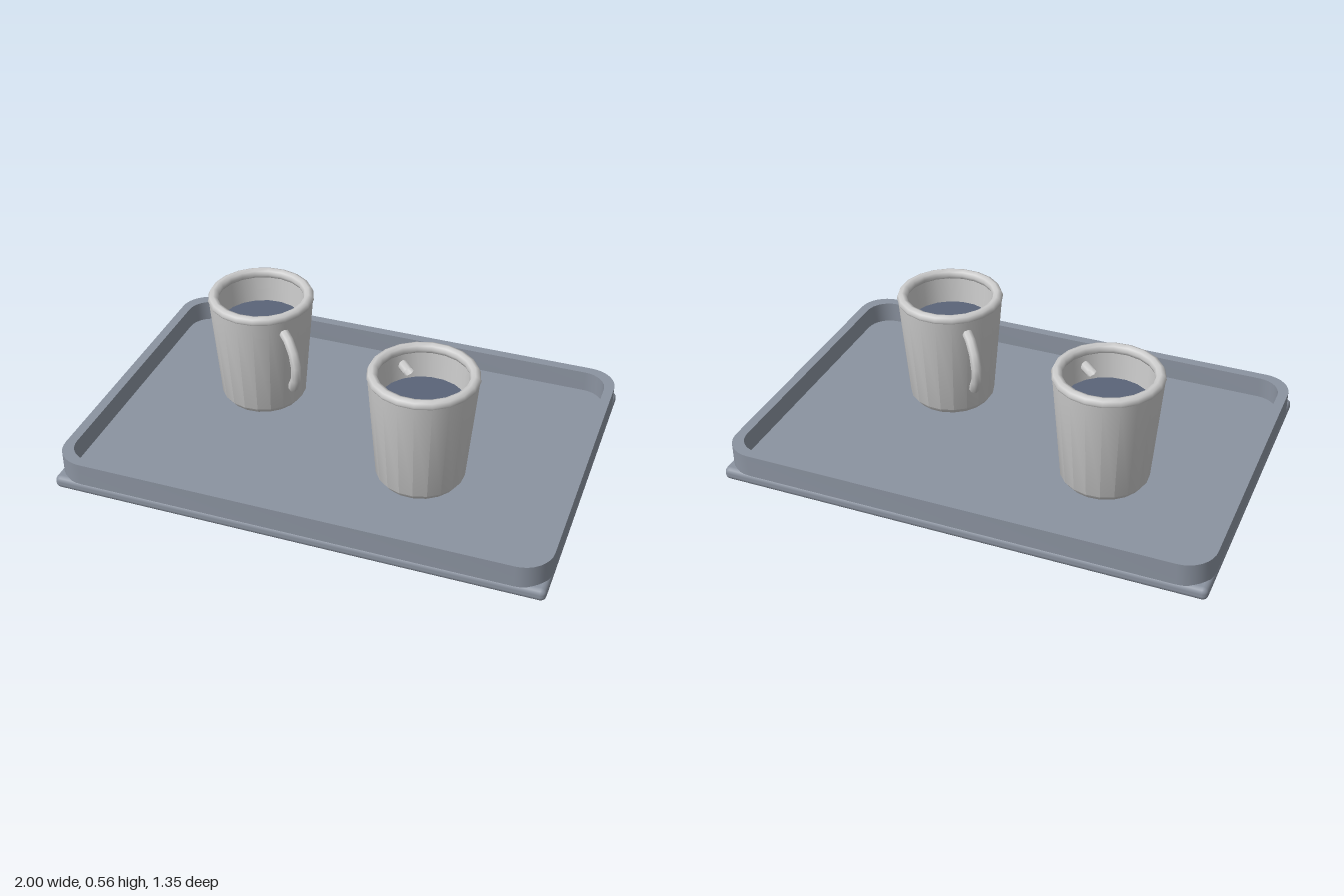
import * as THREE from 'three';
import { toCreasedNormals } from 'three/addons/utils/BufferGeometryUtils.js';
import { RoundedBoxGeometry } from 'three/addons/geometries/RoundedBoxGeometry.js';

const material = (color) => new THREE.MeshStandardMaterial({ color, side: THREE.DoubleSide });
const trayMaterial = material(0x8b93a0);
const mugMaterial = material(0xcccccc);
const drinkMaterial = material(0x5a6478);

function addMesh(parent, name, geometry, mat, y = 0) {
  const mesh = new THREE.Mesh(geometry, mat);
  mesh.name = name;
  mesh.position.y = y;
  parent.add(mesh);
  return mesh;
}

// Rounded rectangle outline, centred on the origin
function roundedRect(path, w, h, r) {
  const x = w / 2 - r, y = h / 2 - r;
  [[x, y], [-x, y], [-x, -y], [x, -y]].forEach(([cx, cy], i) =>
    path.absarc(cx, cy, r, i * Math.PI / 2, (i + 1) * Math.PI / 2, false));
  path.closePath();
  return path;
}

function createTray() {
  const tray = new THREE.Group();
  tray.name = 'tray';
  addMesh(tray, 'trayBase', new RoundedBoxGeometry(2, 0.054, 1.35, 2, 0.022), trayMaterial, 0.027);

  // Raised wall with rounded corners
  const outline = roundedRect(new THREE.Shape(), 2, 1.35, 0.12);
  outline.holes.push(roundedRect(new THREE.Path(), 1.92, 1.27, 0.1));
  const wall = new THREE.ExtrudeGeometry(outline, { depth: 0.095, bevelEnabled: false, curveSegments: 4 });
  wall.rotateX(-Math.PI / 2);
  addMesh(tray, 'trayWall', toCreasedNormals(wall, 0.3), trayMaterial, 0.05);
  return tray;
}

function createMug(x, z, turn) {
  const mug = new THREE.Group();
  mug.name = 'mug';
  mug.position.set(x, 0, z);
  mug.rotation.y = turn;

  // Tapered body with a chamfered foot, hollow inside
  const profile = [[0, 0.06], [0.16, 0.06], [0.179, 0.085], [0.217, 0.535],
    [0.183, 0.535], [0.155, 0.1], [0, 0.1]].map(([r, y]) => new THREE.Vector2(r, y));
  addMesh(mug, 'mugBody', toCreasedNormals(new THREE.LatheGeometry(profile, 20), 0.6), mugMaterial);

  // Rounded lip
  const lip = new THREE.TorusGeometry(0.198, 0.022, 8, 20).rotateX(Math.PI / 2);
  addMesh(mug, 'mugLip', lip, mugMaterial, 0.533);

  // Drink surface
  const drink = new THREE.CylinderGeometry(0.177, 0.175, 0.02, 20);
  addMesh(mug, 'drink', drink, drinkMaterial, 0.4);

  // Curved handle, its upper end passing through the wall
  const handle = new THREE.TorusGeometry(0.14, 0.022, 8, 6, 2.55).rotateZ(-0.7);
  addMesh(mug, 'mugHandle', handle, mugMaterial, 0.335).position.x = 0.168;
  return mug;
}

export function createModel() {
  const model = new THREE.Group();
  model.name = 'trayWithMugs';
  model.add(createTray(), createMug(-0.435, -0.16, -0.72), createMug(0.37, 0.17, 2.33));
  return model;
}
